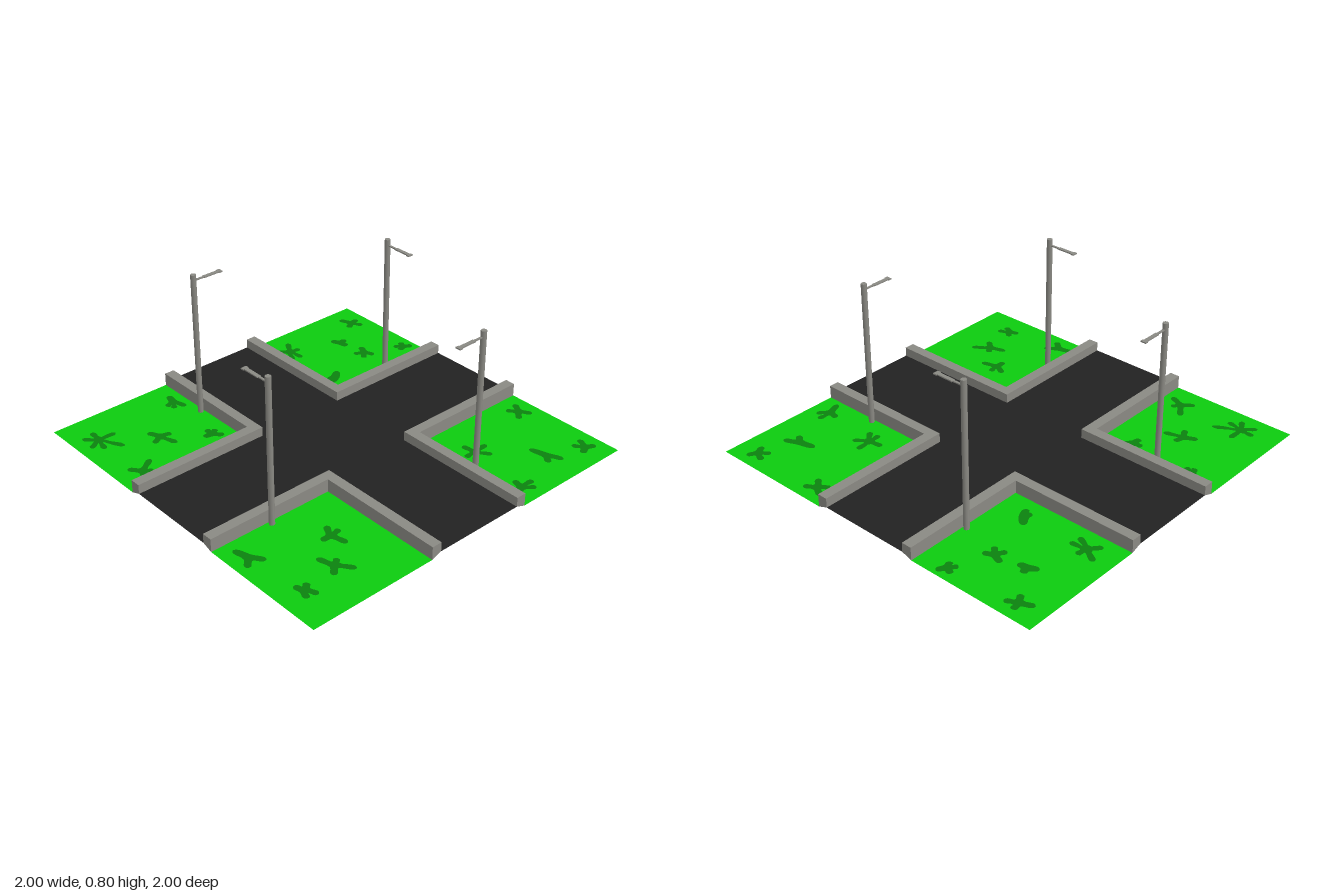
import * as THREE from 'three';

const mat = (name, color, side = THREE.FrontSide) => {
  const m = new THREE.MeshStandardMaterial({ color, side });
  m.name = name;
  return m;
};

const ROAD = 0.25, GRASS = 0.305, ROAD_Y = 0.03, GRASS_Y = 0.01, CURB_Y = 0.08;

// Flat horizontal surface from a shape drawn in (x, -z)
function flat(name, shapes, y, material) {
  const geo = new THREE.ShapeGeometry(shapes).rotateX(-Math.PI / 2).translate(0, y, 0);
  const mesh = new THREE.Mesh(geo, material);
  mesh.name = name;
  return mesh;
}

// Splat outline: rounded arms reaching to the given tip offsets
function splat([x, z, ...tips]) {
  const arms = tips.map(([dx, dz]) => ({ a: Math.atan2(-dz, dx), r: Math.hypot(dx, dz) }))
    .sort((p, q) => p.a - q.a);
  const pts = [];
  arms.forEach(({ a, r }, i) => {
    const add = (along, across) => pts.push(new THREE.Vector3(
      x + Math.cos(a) * along - Math.sin(a) * across,
      -z + Math.sin(a) * along + Math.cos(a) * across, 0));
    add(r * 0.85, -0.016);
    add(r, 0);
    add(r * 0.85, 0.016);
    const next = arms[(i + 1) % arms.length].a + (i === arms.length - 1 ? Math.PI * 2 : 0);
    const mid = (a + next) / 2;
    pts.push(new THREE.Vector3(x + Math.cos(mid) * 0.026, -z + Math.sin(mid) * 0.026, 0));
  });
  return new THREE.CatmullRomCurve3(pts, true).getPoints(50).slice(0, -1)
    .map(p => new THREE.Vector2(p.x, p.y));
}

// Each splat: centre x, centre z, then its arm tips
const backRight = [
  [-0.87, -0.79, [-0.06, -0.06], [0.01, -0.08], [0.10, 0], [0.07, 0.13], [-0.02, 0.09], [-0.07, 0.04]],
  [-0.38, -0.83, [0.02, -0.07], [-0.05, 0.01], [0.03, 0.07], [-0.03, 0.05]],
  [-0.62, -0.61, [-0.03, -0.07], [-0.06, 0.03], [0.06, 0.01], [0.03, 0.10]],
  [-0.86, -0.42, [-0.05, -0.06], [0.085, -0.06], [-0.04, 0.08], [0.04, 0.03]],
  [-0.41, -0.46, [0, -0.05], [-0.05, 0], [0.04, 0.05], [0.04, -0.02]],
];
const backLeft = [
  [0.42, -0.83, [0.05, -0.08], [-0.06, -0.05], [-0.05, 0.08], [0.01, 0.09], [0.06, 0.01]],
  [0.90, -0.85, [-0.03, -0.07], [0.05, -0.01], [0.03, 0.06], [-0.05, 0.03]],
  [0.70, -0.72, [-0.03, -0.05], [0.04, -0.01], [0, 0.05]],
  [0.42, -0.46, [0.055, -0.04], [-0.05, 0.03], [-0.04, -0.01]],
  [0.72, -0.55, [0.03, -0.06], [-0.05, -0.03], [0.03, 0.05], [-0.04, 0.04]],
  [0.93, -0.46, [0.045, 0.03], [-0.04, -0.03], [0.02, -0.04], [-0.04, 0.02]],
];
const frontRight = [
  [-0.90, 0.45, [-0.02, -0.09], [0.05, 0.06], [-0.05, 0.05]],
  [-0.52, 0.57, [0.03, -0.07], [-0.06, 0], [0.06, -0.01], [0.02, 0.09]],
  [-0.65, 0.74, [-0.03, -0.09], [0.06, 0.08], [-0.05, 0.05], [0.04, -0.03]],
  [-0.86, 0.78, [-0.02, -0.05], [0.04, -0.03], [0.03, 0.06], [-0.03, 0.05]],
];
const frontLeft = [
  [0.46, 0.54, [-0.01, -0.08], [0.09, -0.01], [0.05, 0.07], [-0.06, 0.06], [-0.07, 0]],
  [0.90, 0.43, [-0.04, -0.05], [0.04, -0.06], [0.04, 0.06], [-0.05, 0.05]],
  [0.70, 0.80, [-0.02, -0.10], [0.04, 0.07], [-0.04, 0.04]],
  [0.41, 0.89, [-0.08, 0.03], [0.01, -0.06], [0.08, 0], [0.05, 0.05]],
  [0.90, 0.87, [0.03, -0.06], [0.05, 0.03], [-0.05, 0.03], [-0.04, -0.05]],
];

// L-shaped curb: a section with a sloping underside swept round a mitred corner
function curbGeometry() {
  const section = [[ROAD, ROAD_Y], [ROAD, CURB_Y], [GRASS, CURB_Y], [GRASS, GRASS_Y]];
  const rings = [
    section.map(([u, y]) => [u, y, 1]),
    section.map(([u, y]) => [u, y, u]),
    section.map(([u, y]) => [1, y, u]),
  ];
  const pos = [];
  const quad = (a, b, c, d) => pos.push(...a, ...b, ...c, ...a, ...c, ...d);
  for (let r = 0; r < 2; r++) {
    for (let i = 0; i < 4; i++) {
      const j = (i + 1) % 4;
      quad(rings[r][i], rings[r][j], rings[r + 1][j], rings[r + 1][i]);
    }
  }
  quad(...[...rings[0]].reverse());
  quad(...rings[2]);
  const geo = new THREE.BufferGeometry();
  geo.setAttribute('position', new THREE.Float32BufferAttribute(pos, 3));
  geo.computeVertexNormals();
  return geo;
}

// Street lamp at the origin with its arm reaching along -x
function streetLamp(material) {
  const lamp = new THREE.Group();
  const add = (name, geo, x, y) => {
    const mesh = new THREE.Mesh(geo, material);
    mesh.name = name;
    mesh.position.set(x, y, 0);
    lamp.add(mesh);
  };
  add('pole', new THREE.CylinderGeometry(0.015, 0.015, 0.8, 8).toNonIndexed(), 0, 0.4);
  add('arm', new THREE.BoxGeometry(0.07, 0.006, 0.011), -0.035, 0.767);
  add('lampHead', new THREE.BoxGeometry(0.09, 0.006, 0.02), -0.107, 0.767);
  add('lampTip', new THREE.BoxGeometry(0.018, 0.006, 0.03), -0.161, 0.767);
  return lamp;
}

export function createModel() {
  const model = new THREE.Group();
  model.name = 'crossroads';
  const asphalt = mat('asphalt', 0x222222, THREE.DoubleSide);
  const grass = mat('grass', 0x0ccb0f, THREE.DoubleSide);
  const darkGrass = mat('darkGrass', 0x0b820f, THREE.DoubleSide);
  const concrete = mat('concrete', 0x8a8983);

  // Cross-shaped road
  const w = ROAD;
  const cross = [[-w, -1], [w, -1], [w, -w], [1, -w], [1, w], [w, w],
    [w, 1], [-w, 1], [-w, w], [-1, w], [-1, -w], [-w, -w]];
  model.add(flat('road', new THREE.Shape(cross.map(p => new THREE.Vector2(...p))), ROAD_Y, asphalt));

  // Lawns, with the dark patches set flush into them
  const lawns = [['frontLeft', 1, 1, frontLeft], ['backLeft', 1, -1, backLeft],
    ['backRight', -1, -1, backRight], ['frontRight', -1, 1, frontRight]];
  for (const [name, sx, sz, list] of lawns) {
    const corners = [[GRASS, GRASS], [1, GRASS], [1, 1], [GRASS, 1]];
    const lawn = new THREE.Shape(corners.map(([x, z]) => new THREE.Vector2(x * sx, -z * sz)));
    const outlines = list.map(splat);
    lawn.holes = outlines.map(o => new THREE.Path(o));
    model.add(flat(name + 'Lawn', lawn, GRASS_Y, grass));
    model.add(flat(name + 'Patches', outlines.map(o => new THREE.Shape(o)), GRASS_Y, darkGrass));
  }

  // One curb and one street lamp per corner, turned a quarter each time
  const curb = curbGeometry();
  for (let i = 0; i < 4; i++) {
    const corner = new THREE.Group();
    corner.name = 'corner' + (i + 1);
    corner.rotation.y = i * Math.PI / 2;
    const curbMesh = new THREE.Mesh(curb, concrete);
    curbMesh.name = 'curb';
    const lamp = streetLamp(concrete);
    lamp.name = 'streetLamp';
    lamp.position.set(0.325, 0, 0.665);
    corner.add(curbMesh, lamp);
    model.add(corner);
  }
  return model;
}
